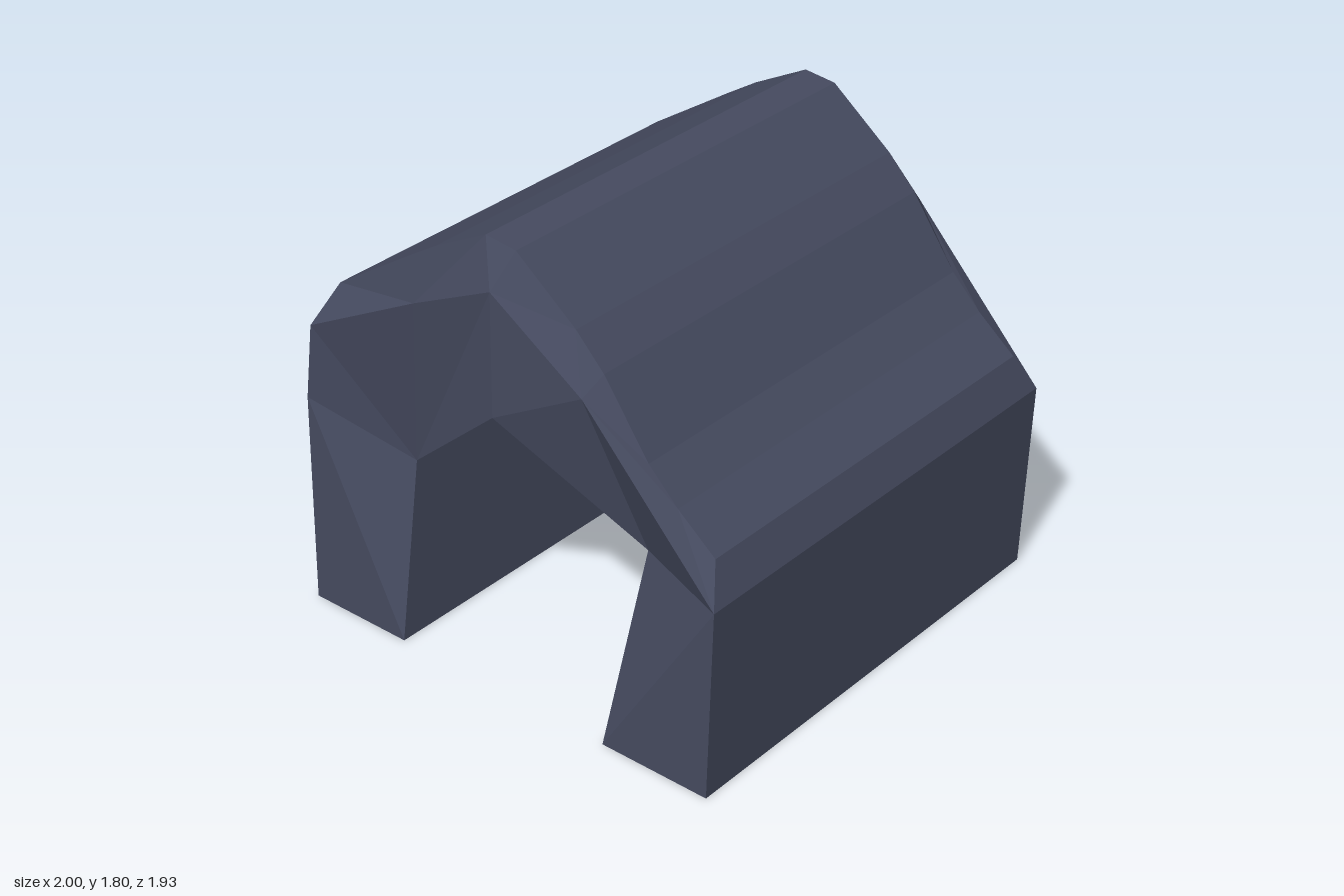
import * as THREE from 'three';

// Cross-section points as [z, y]
const SECTION = {
  // legs and outer rim
  F: [0.935, 0], R0: [0.965, 0.78], R1: [0.4, 1.385], R2: [0, 1.645], R3: [-0.41, 1.44],
  R4: [-0.895, 1.2], R5: [-0.94, 0.885], B: [-0.965, 0],
  // roof, set in from the ends
  O0: [0.905, 0.93], O1: [0.745, 1.06], O2: [0.62, 1.185], O3: [0.43, 1.455], O4: [0.31, 1.58],
  O5: [0.05, 1.785], O6: [-0.085, 1.8], O7: [-0.32, 1.68], O8: [-0.45, 1.6], O9: [-0.81, 1.37],
  // inside of the arch
  I0: [0.465, 0], I1: [0.555, 0.78], I2: [-0.01, 1.155], I3: [-0.545, 0.7], I4: [-0.51, 0],
};
// Irregular x positions at each end
const END_X = {
  left: { I1: 0.84, I3: 0.998 },
  right: { I1: -0.85, I3: -0.85, R3: -0.955 },
};

function point(key, end) {
  const [z, y] = SECTION[key];
  const left = end === 'left';
  const base = key[0] === 'O' ? (left ? 0.82 : -0.92) : (left ? 0.9 : -1);
  return [END_X[end][key] ?? base, y, z];
}

// Flat-faced mesh from convex polygons
function facetMesh(name, polygons, material) {
  const positions = [];
  for (const p of polygons) {
    for (let i = 1; i < p.length - 1; i++) positions.push(...p[0], ...p[i], ...p[i + 1]);
  }
  const geometry = new THREE.BufferGeometry();
  geometry.setAttribute('position', new THREE.Float32BufferAttribute(positions, 3));
  geometry.computeVertexNormals();
  const mesh = new THREE.Mesh(geometry, material);
  mesh.name = name;
  return mesh;
}

// Strips running the length of the shelter along a path of section points
function strips(path) {
  const keys = path.split(' ');
  return keys.slice(1).map((b, i) => {
    const a = keys[i];
    return [point(a, 'right'), point(a, 'left'), point(b, 'left'), point(b, 'right')];
  });
}

// Polygons on one end; the right end reverses the corner order
function endFaces(list, end) {
  return list.map((text) => {
    const p = text.split(' ').map((k) => point(k, end));
    return end === 'left' ? p : p.reverse();
  });
}

export function createModel() {
  const group = new THREE.Group();
  group.name = 'archedShelter';
  const slate = new THREE.MeshStandardMaterial({ color: 0x454a5f });
  slate.name = 'slate';

  // Lengthwise surfaces
  group.add(facetMesh('frontWall', strips('F R0'), slate));
  group.add(facetMesh('roof', strips('R0 O0 O1 O2 O3 O4 O5 O6 O7 O8 O9 R4'), slate));
  group.add(facetMesh('backWall', strips('R4 R5 B'), slate));
  group.add(facetMesh('backFoot', strips('B I4'), slate));
  group.add(facetMesh('archInside', strips('I4 I3 I2 I1 I0'), slate));
  group.add(facetMesh('frontFoot', strips('I0 F'), slate));

  // End faces and the bevel that joins them to the roof
  const cap = ['F I0 I1 R0', 'R0 I1 R1', 'R1 I1 I2', 'R1 I2 R2', 'R2 I2 I3', 'R2 I3 R3',
    'R3 I3 R4', 'R4 I3 R5', 'R5 I3 I4', 'R5 I4 B'];
  const bevel = ['R0 O1 O0', 'R0 R1 O1', 'R1 O2 O1', 'R1 O3 O2', 'R1 O4 O3', 'R1 R2 O4',
    'R2 O5 O4', 'R2 O6 O5', 'R2 R3 O6', 'R3 O7 O6', 'R3 O8 O7', 'R3 O9 O8', 'R3 R4 O9'];
  for (const end of ['left', 'right']) {
    group.add(facetMesh(end + 'EndFace', endFaces(cap, end), slate));
    group.add(facetMesh(end + 'RoofBevel', endFaces(bevel, end), slate));
  }
  return group;
}
